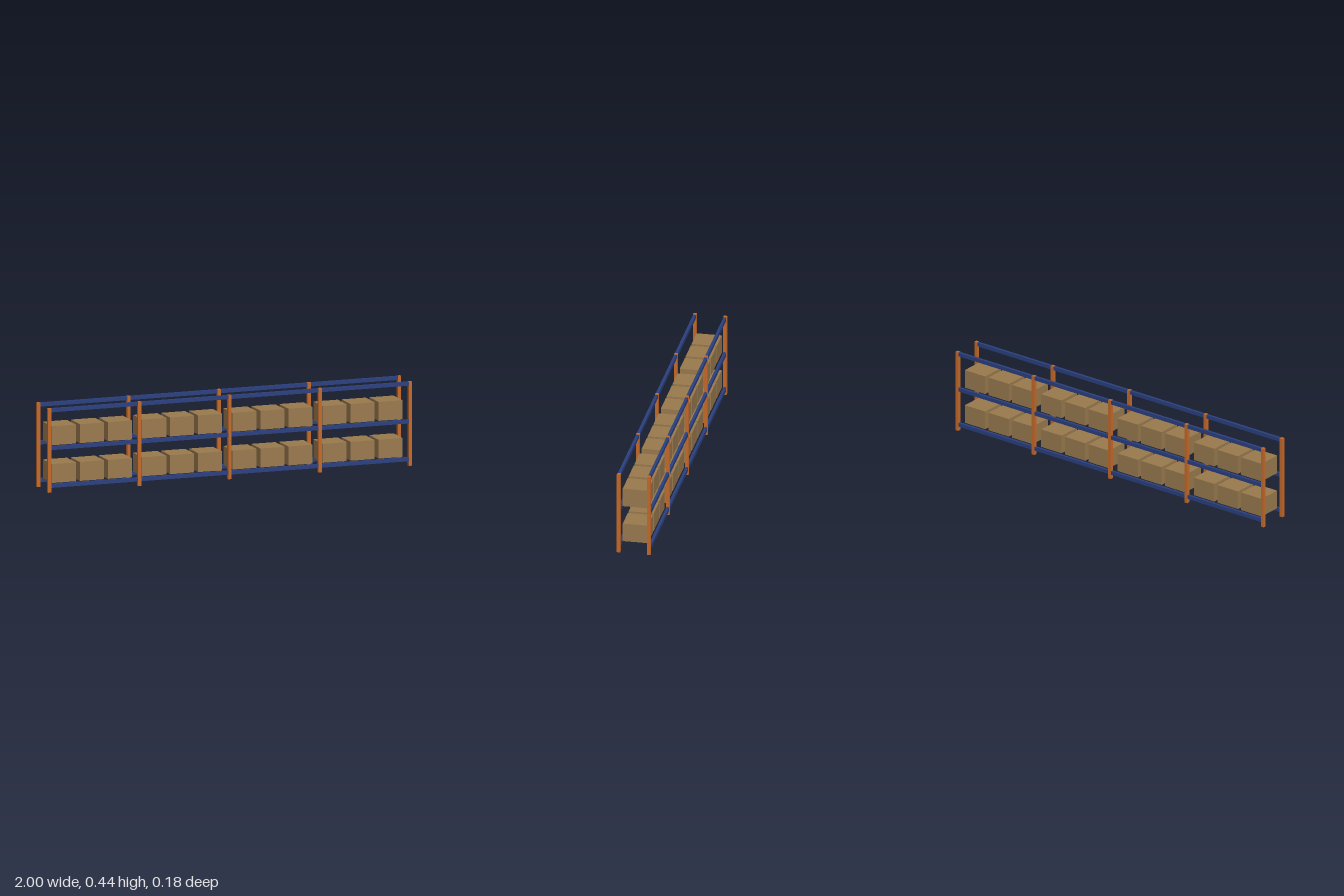
import * as THREE from 'three';

const BAY = 0.4955, BAYS = 4, POST = 0.018, HEIGHT = 0.441, ROW_Z = 0.0795;

export function createModel() {
  const orange = new THREE.MeshStandardMaterial({ name: 'orange steel', color: 0xc66a2a });
  const blue = new THREE.MeshStandardMaterial({ name: 'blue steel', color: 0x2a4080 });
  const cardboard = new THREE.MeshStandardMaterial({ name: 'cardboard', color: 0x9a7a4e });

  const model = new THREE.Group();
  model.name = 'palletRack';

  const addBox = (name, material, w, h, d, x, y, z) => {
    const mesh = new THREE.Mesh(new THREE.BoxGeometry(w, h, d), material);
    mesh.name = name;
    mesh.position.set(x, y, z);
    model.add(mesh);
  };

  const startX = -BAY * BAYS / 2;

  // Front and back rows of uprights, with beams between neighbouring uprights
  for (const [side, z] of [['front', ROW_Z], ['back', -ROW_Z]]) {
    for (let i = 0; i <= BAYS; i++) {
      addBox(side + 'Upright', orange, POST, HEIGHT, POST, startX + i * BAY, HEIGHT / 2, z);
    }
    for (let i = 0; i < BAYS; i++) {
      for (const y of [0.034, 0.232, 0.430]) {
        addBox(side + 'Beam', blue, BAY - POST, 0.02, 0.0145, startX + (i + 0.5) * BAY, y, z);
      }
    }
  }

  // Three cartons per bay on the two lower levels
  for (let i = 0; i < BAYS; i++) {
    for (const bottom of [0.045, 0.243]) {
      for (let k = 0; k < 3; k++) {
        addBox('carton', cardboard, 0.132, 0.099, 0.132,
          startX + i * BAY + 0.0875 + k * 0.1535, bottom + 0.0495, 0);
      }
    }
  }

  return model;
}
